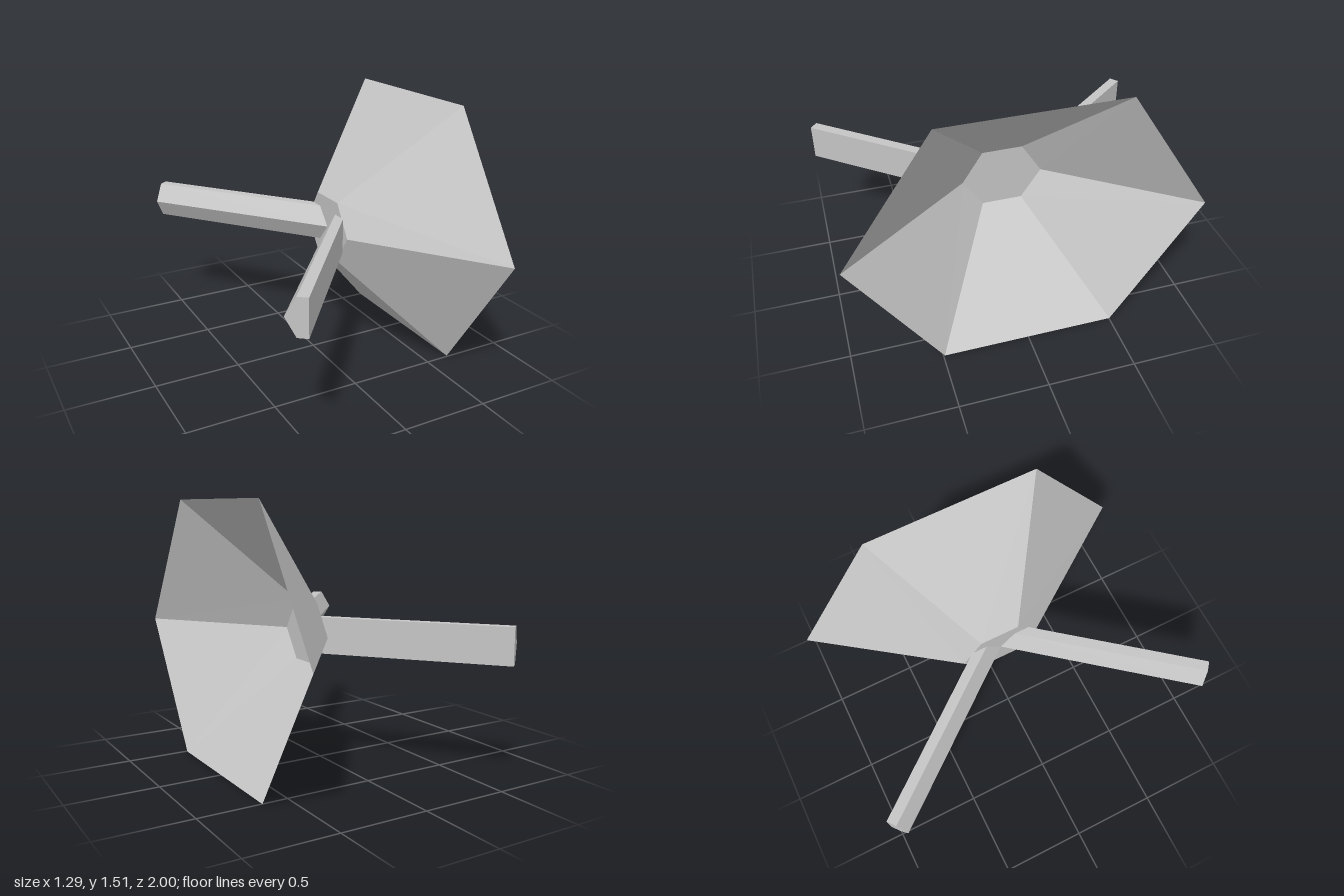
import * as THREE from 'three';

// Joins two matching rings of points with flat faces, with optional end caps.
function loft(a, b, capStart, capEnd) {
  const pos = [];
  const tri = (...pts) => pts.forEach((p) => pos.push(...p));
  const n = a.length;
  for (let i = 0; i < n; i++) {
    const j = (i + 1) % n;
    tri(a[i], a[j], b[j]);
    tri(a[i], b[j], b[i]);
  }
  for (let i = 1; i < n - 1; i++) {
    if (capStart) tri(a[0], a[i + 1], a[i]);
    if (capEnd) tri(b[0], b[i], b[i + 1]);
  }
  const geo = new THREE.BufferGeometry();
  geo.setAttribute('position', new THREE.Float32BufferAttribute(pos, 3));
  geo.computeVertexNormals();
  return geo;
}

// Six-cornered ring standing in a plane of constant x.
function hexRing(x, low, mid, high, halfWidth, cz) {
  const h = halfWidth;
  return [[-h, mid], [-h / 2, high], [h / 2, high], [h, mid], [h / 2, low], [-h / 2, low]]
    .map(([z, y]) => [x, y, z + cz]);
}

export function createModel() {
  const model = new THREE.Group();
  const grey = new THREE.MeshStandardMaterial({ color: 0xc4c4c4, flatShading: true, side: THREE.DoubleSide });
  grey.name = 'lightGrey';

  const add = (name, geo) => {
    const mesh = new THREE.Mesh(geo, grey);
    mesh.name = name;
    model.add(mesh);
  };

  // Open six-sided dish with a closed small end
  const neckX = 0.095;
  add('dish', loft(
    hexRing(neckX, 0.585, 0.757, 0.94, 0.232, -0.005),
    hexRing(0.645, 0, 0.757, 1.512, 0.995, -0.005),
    true, false));

  // Two splayed legs: pentagonal section, pointed on the inner side, flat on the outer
  const section = [[0, 0.762], [0.5, 0.865], [1, 0.865], [1, 0.66], [0.5, 0.66]];
  for (const side of [1, -1]) {
    const tip = section.map(([w, y]) => [-0.645 + 0.09 * w, y, side * (0.925 + 0.073 * w)]);
    const root = section.map(([w, y]) => [neckX - 0.001, y, side * 0.18 * w]);
    if (side < 0) {
      tip.reverse();
      root.reverse();
    }
    add(side > 0 ? 'frontLeg' : 'backLeg', loft(tip, root, true, true));
  }

  return model;
}
